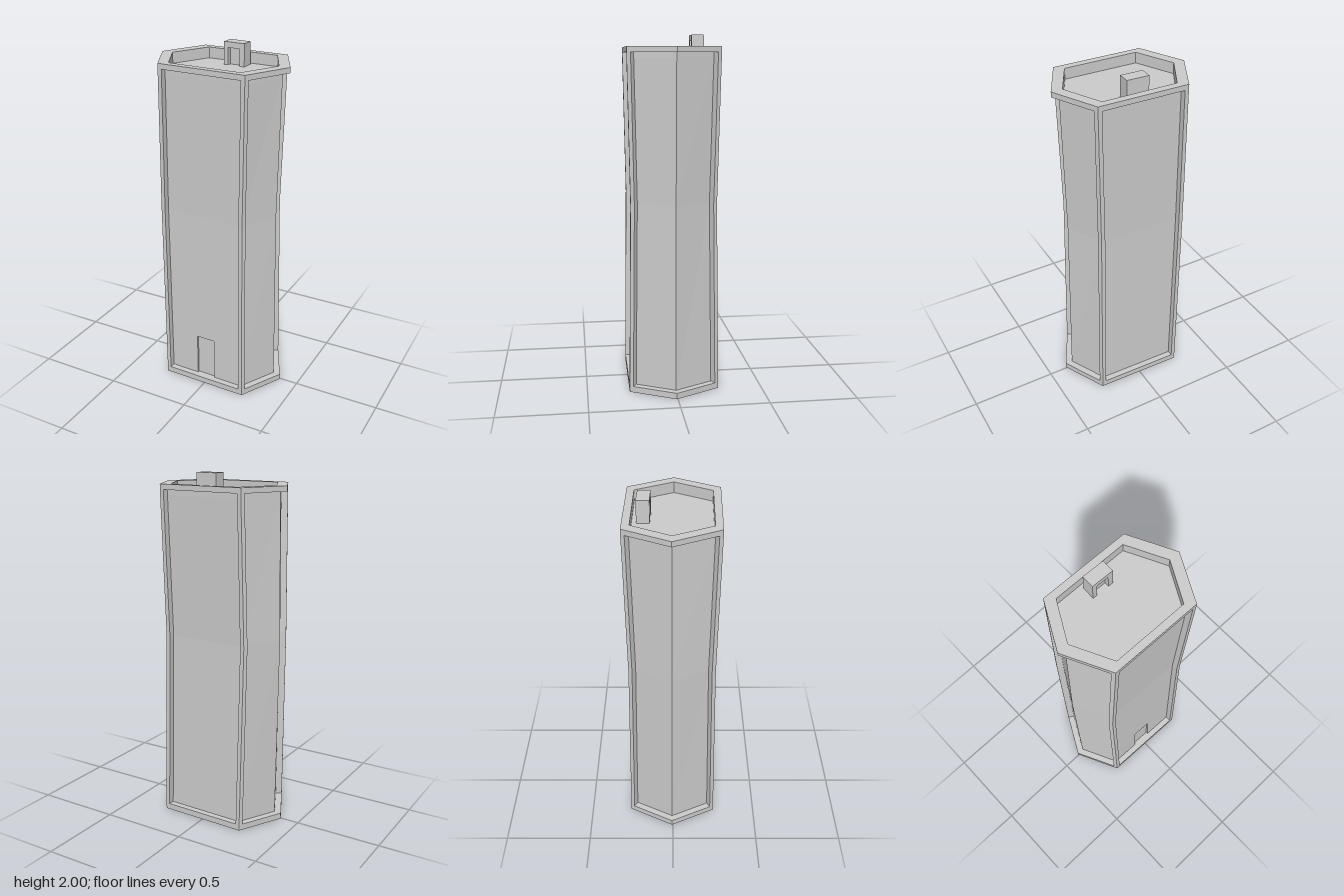
import * as THREE from 'three';

const BASE = 0.035, WAIST = 1.08, TOP = 1.905, RIM = 1.935, ROOF = 1.873;

// Hexagonal outlines as [x, z]; the second half repeats the first turned by 180 degrees
const hex = (half) => [...half, ...half.map(([x, z]) => [-x, -z])];
const OUTER = hex([[0.39, 0.006], [0.255, 0.26], [-0.262, 0.25]]);
const BODY = hex([[0.348, 0.005], [0.2315, 0.225], [-0.238, 0.215]]);
const INNER = hex([[0.325, 0.006], [0.21, 0.217], [-0.218, 0.21]]);

export function createModel() {
  const group = new THREE.Group();
  const material = new THREE.MeshStandardMaterial({ color: 0xcccccc, flatShading: true, side: THREE.DoubleSide });

  const add = (name, geometry, parent = group) => {
    const mesh = new THREE.Mesh(geometry, material);
    mesh.name = name;
    parent.add(mesh);
    return mesh;
  };

  // Walls lean inwards and to one side towards the waist
  const bend = (x, y, z) => {
    const t = y < WAIST ? (y - BASE) / (WAIST - BASE) : (TOP - y) / (TOP - WAIST);
    const lean = Math.abs(z) > 0.1 ? Math.sign(z) * 0.015 : 0;
    return [x - 0.015 * t, y, z - lean * t];
  };

  // Bent walls around an outline, between successive heights
  const loft = (points, heights, skip = () => false) => {
    const positions = [];
    for (let k = 0; k + 1 < heights.length; k++) {
      points.forEach(([x, z], i) => {
        if (skip(i, k)) return;
        const [nx, nz] = points[(i + 1) % points.length];
        const a = bend(x, heights[k], z), b = bend(x, heights[k + 1], z);
        const c = bend(nx, heights[k], nz), d = bend(nx, heights[k + 1], nz);
        positions.push(...a, ...b, ...c, ...b, ...d, ...c);
      });
    }
    const geometry = new THREE.BufferGeometry();
    geometry.setAttribute('position', new THREE.Float32BufferAttribute(positions, 3));
    geometry.computeVertexNormals();
    return geometry;
  };

  // Flat horizontal slab with an optional hole
  const slab = (points, bottom, top, hole) => {
    const vectors = (list) => list.map(([x, z]) => new THREE.Vector2(x, z));
    const shape = new THREE.Shape(vectors(points));
    if (hole) shape.holes.push(new THREE.Path(vectors(hole)));
    return new THREE.ExtrudeGeometry(shape, { depth: top - bottom, bevelEnabled: false })
      .rotateX(Math.PI / 2).translate(0, top, 0);
  };

  // Upright wall with a doorway notch in its lower edge
  const notchedWall = (x0, x1, y0, y1, d0, d1, doorTop, depth) => {
    const shape = new THREE.Shape([
      [x0, y0], [d0, y0], [d0, doorTop], [d1, doorTop], [d1, y0], [x1, y0], [x1, y1], [x0, y1],
    ].map(([x, y]) => new THREE.Vector2(x, y)));
    return new THREE.ExtrudeGeometry(shape, { depth, bevelEnabled: false });
  };

  // Place an upright flat geometry onto the bent front of the body
  const ontoFront = (geometry) => {
    const flat = geometry.index ? geometry.toNonIndexed() : geometry;
    const p = flat.attributes.position;
    const [[rx, rz], [lx, lz]] = [BODY[1], BODY[2]];
    for (let i = 0; i < p.count; i++) {
      const z = lz + (rz - lz) * (p.getX(i) - lx) / (rx - lx);
      const [x, y, zb] = bend(p.getX(i), p.getY(i), z);
      p.setXYZ(i, x, y, zb + p.getZ(i));
    }
    flat.computeVertexNormals();
    return flat;
  };

  // Base, rim and roof
  add('base', slab(OUTER, 0, BASE));
  add('roofRim', slab(OUTER, TOP, RIM, INNER));
  add('parapet', slab(BODY, ROOF, TOP, INNER));
  add('roofDeck', slab(INNER, ROOF - 0.01, ROOF));

  // Main walls; the lower front wall carries the doorway
  add('walls', loft(BODY, [BASE, WAIST, TOP], (i, k) => i === 1 && k === 0));
  add('frontWall', ontoFront(
    notchedWall(BODY[2][0], BODY[1][0], BASE, WAIST, -0.063, 0.052, 0.29, 0.012).translate(0, 0, -0.012)));
  add('frontDoor', ontoFront(new THREE.BoxGeometry(0.125, 0.262, 0.004).translate(-0.0055, BASE + 0.131, -0.014)));

  // Corner posts at the ends of the front and back
  for (const [corner, wide, side] of [[1, 2, 0], [2, 1, 3], [4, 5, 3], [5, 4, 0]]) {
    const c = new THREE.Vector2(...OUTER[corner]);
    const towards = (i, length) => new THREE.Vector2(...OUTER[i]).sub(c).setLength(length).add(c);
    const a = towards(wide, 0.023), b = towards(side, 0.023);
    const inner = new THREE.Vector2(a.x, a.y - Math.sign(c.y) * 0.04);
    let points = [c, a, inner, b];
    if (THREE.ShapeUtils.area(points) < 0) points = points.reverse();
    add('cornerPost', loft(points.map((p) => [p.x, p.y]), [BASE, WAIST, TOP]));
  }

  // Rooftop stair hut with a recessed doorway
  const hut = new THREE.Group();
  hut.name = 'roofHut';
  hut.position.set(0.001, ROOF, -0.153);
  hut.rotation.y = -0.035;
  group.add(hut);
  const hutHeight = 2 - ROOF;
  add('hutFront', notchedWall(-0.0635, 0.0635, 0, hutHeight, -0.038, 0.034, 0.095, 0.025).translate(0, 0, 0.01), hut);
  add('hutBody', new THREE.BoxGeometry(0.127, hutHeight, 0.045).translate(0, hutHeight / 2, -0.0125), hut);

  return group;
}
